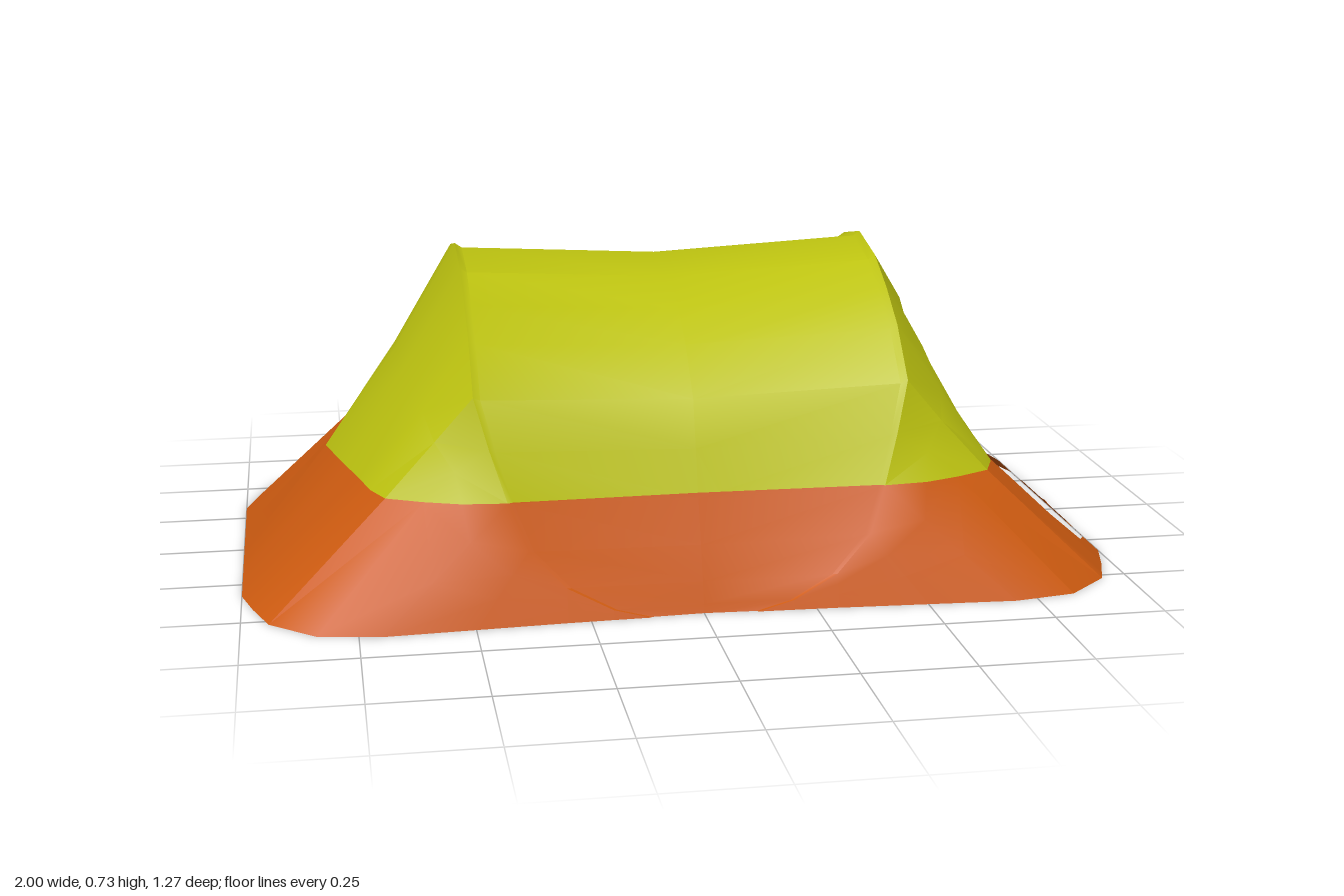
import * as THREE from 'three';
import { toCreasedNormals } from 'three/addons/utils/BufferGeometryUtils.js';

// Half columns from the ridge (z = 0) to the ground: hoop, upper, waist and hem points.
const COLUMNS = [
  [[0.485, 0.725, 0], [0.63, 0.48, 0], [0.8, 0.25, 0], [1, 0, 0]],
  [[0.485, 0.695, 0.15], [0.625, 0.46, 0.15], [0.76, 0.25, 0.17], [1, 0, 0.17]],
  [[0.485, 0.64, 0.26], [0.61, 0.44, 0.27], [0.73, 0.25, 0.29], [1, 0, 0.33]],
  [[0.485, 0.575, 0.36], [0.59, 0.42, 0.36], [0.71, 0.25, 0.38], [0.975, 0, 0.42]],
  [[0.485, 0.47, 0.46], [0.57, 0.37, 0.445], [0.68, 0.25, 0.45], [0.94, 0, 0.52]],
  [[0.455, 0.36, 0.495], [0.53, 0.31, 0.487], [0.6, 0.25, 0.49], [0.84, 0, 0.61]],
  [[0.42, 0.25, 0.53], [0.7, 0, 0.635]],
  [[0.38, 0.15, 0.565], [0.5, 0, 0.625]],
  [[0.3, 0.07, 0.59], [0.3, 0, 0.615]],
  [[0.2, 0.02, 0.605], [0.2, 0, 0.612]],
  [[0.12, 0, 0.61], [0.12, 0, 0.61]],
].map((col) => {
  const p = col.map((a) => new THREE.Vector3(...a));
  return p.length === 4 ? p : [p[0], p[0].clone().lerp(p[1], 0.3), p[0].clone().lerp(p[1], 0.6), p[1]];
});

// Door outline as [z, y], from its top to its sill.
const DOOR_HALF = [[0, 0.64], [0.22, 0.57], [0.295, 0.46], [0.355, 0.31], [0.385, 0.115], [0.37, 0.045], [0.28, 0.025]];
const DOOR = [...DOOR_HALF, ...DOOR_HALF.slice(1).reverse().map(([z, y]) => [-z, y])];

const scaled = (p, x, y, z) => new THREE.Vector3(p.x * x, p.y * y, p.z * z);

// Cross-sections along x: each runs from the +z ground over the ridge to the -z ground.
function shellSections() {
  const whole = (f) => {
    const half = COLUMNS.map(f);
    return [...half.slice(1).reverse(), ...half.map((p) => scaled(p, 1, 1, -1))];
  };
  const side = [
    whole((c) => scaled(c[0], 0.967, 0.985, 0.993)), // inner edge of the hoop sleeve
    ...[0, 1, 2, 3].map((k) => whole((c) => c[k])),
  ];
  const middle = whole((c) => scaled(c[0], 0, 0.95, 0.985));
  const mirrored = side.map((s) => s.map((p) => scaled(p, -1, 1, 1))).reverse();
  return [...mirrored, middle, ...side];
}

// Triangles between neighbouring sections, with diagonals mirrored on both axes.
function loft(sections) {
  const tris = [];
  const mi = (sections.length - 1) / 2, mj = (sections[0].length - 1) / 2;
  for (let i = 0; i < sections.length - 1; i++) {
    for (let j = 0; j < sections[0].length - 1; j++) {
      const a = sections[i][j], b = sections[i + 1][j], c = sections[i + 1][j + 1], d = sections[i][j + 1];
      const pair = (i < mi) !== (j < mj) ? [[a, b, c], [a, c, d]] : [[a, b, d], [b, c, d]];
      tris.push(...pair.filter((t) => new THREE.Triangle(...t).getArea() > 1e-7));
    }
  }
  return tris;
}

// Cut triangles along the line where dist(p) = 0; returns [positive side, negative side].
function split(tris, dist) {
  const out = [[], []];
  for (const t of tris) {
    [1, -1].forEach((sign, k) => {
      const poly = [];
      t.forEach((p, i) => {
        const q = t[(i + 1) % 3], dp = sign * dist(p), dq = sign * dist(q);
        if (dp >= 0) poly.push(p);
        if ((dp > 0 && dq < 0) || (dp < 0 && dq > 0)) poly.push(p.clone().lerp(q, dp / (dp - dq)));
      });
      for (let i = 1; i < poly.length - 1; i++) {
        const piece = [poly[0], poly[i], poly[i + 1]];
        if (new THREE.Triangle(...piece).getArea() > 1e-8) out[k].push(piece);
      }
    });
  }
  return out;
}

// Remove the convex doorway from the +x end.
function cutDoor(tris) {
  const isEnd = (t) => t.every((p) => p.x > 0.43);
  const kept = tris.filter((t) => !isEnd(t));
  let rest = tris.filter(isEnd);
  DOOR.forEach(([z0, y0], i) => {
    const [z1, y1] = DOOR[(i + 1) % DOOR.length];
    const cross = (z, y) => (z1 - z0) * (y - y0) - (y1 - y0) * (z - z0);
    const inward = Math.sign(cross(0, 0.3));
    const [outside, inside] = split(rest, (p) => -inward * cross(p.z, p.y));
    kept.push(...outside);
    rest = inside;
  });
  return kept;
}

function clothMesh(name, tris, color) {
  const geometry = new THREE.BufferGeometry().setFromPoints(tris.flat());
  const material = new THREE.MeshStandardMaterial({ color, side: THREE.DoubleSide });
  const mesh = new THREE.Mesh(toCreasedNormals(geometry, 0.55), material);
  mesh.name = name;
  return mesh;
}

export function createModel() {
  const tent = new THREE.Group();
  tent.name = 'tent';
  const sections = shellSections();

  // Outer fabric: canopy above the waist, skirt below it
  const [canopy, skirt] = split(cutDoor(loft(sections)), (p) => p.y - 0.25);
  tent.add(clothMesh('canopy', canopy, 0xbcc210));
  tent.add(clothMesh('skirt', skirt, 0xcc5a10));

  // Dark inner tent, drawn in towards the floor
  const inner = sections.map((s) => s.map((p) => {
    const f = Math.min(1, p.y / 0.4);
    return scaled(p, 0.91 + 0.07 * f, 0.975, 0.8 + 0.175 * f);
  }));
  const [liner] = split(cutDoor(loft(inner)), (p) => p.y - 0.07);
  tent.add(clothMesh('innerTent', liner, 0x0a0a0a));

  // Groundsheet
  const floor = new THREE.Mesh(
    new THREE.BoxGeometry(1.68, 0.05, 0.94),
    new THREE.MeshStandardMaterial({ color: 0x151515 }),
  );
  floor.name = 'groundsheet';
  floor.position.set(0.015, 0.055, 0);
  tent.add(floor);
  return tent;
}
